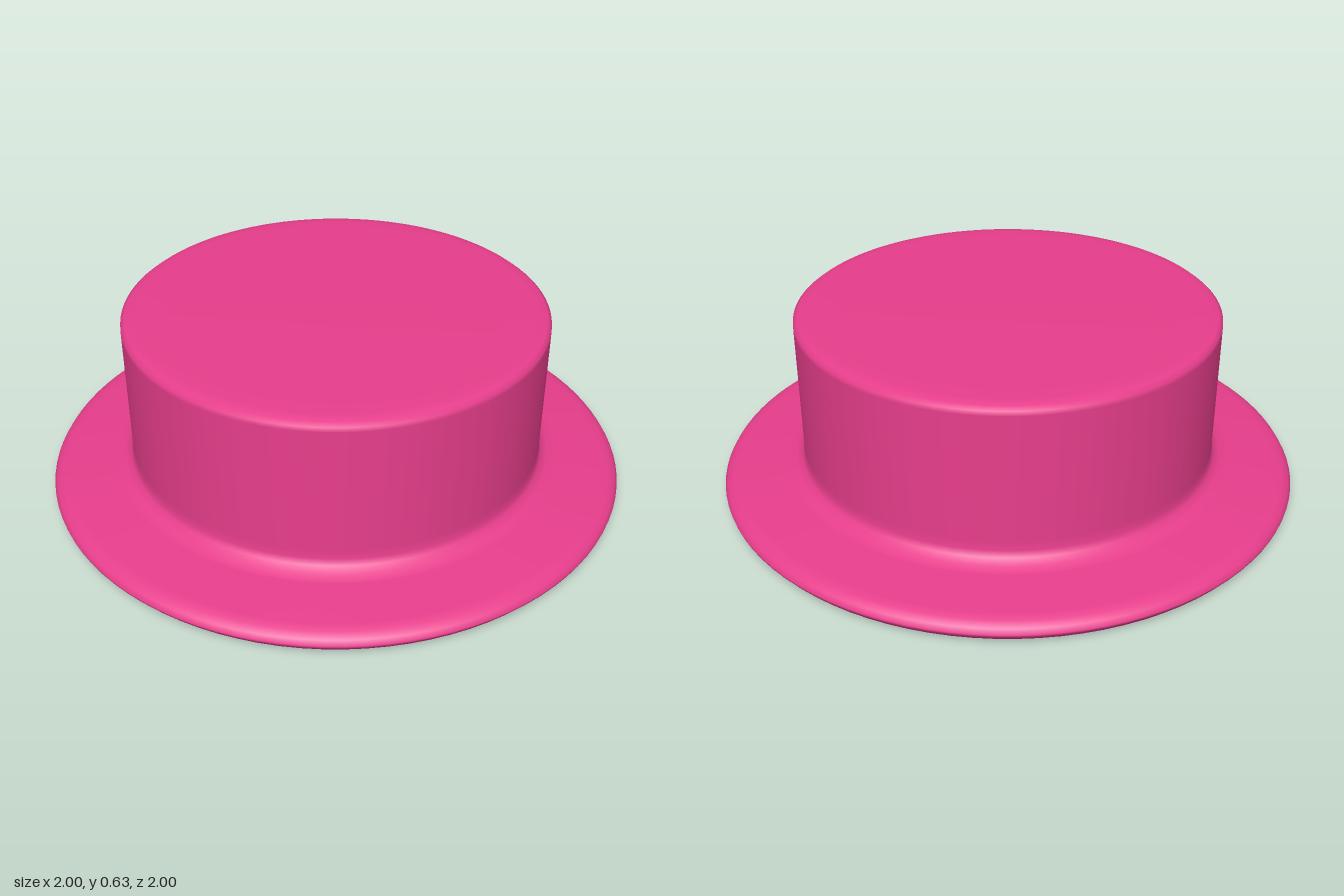
import * as THREE from 'three';

const material = new THREE.MeshStandardMaterial({ color: 0xe83e8c });

// Revolves a list of [radius, height] pairs around the y axis
function revolve(name, profile) {
  const points = profile.map(([r, y]) => new THREE.Vector2(r, y));
  const mesh = new THREE.Mesh(new THREE.LatheGeometry(points, 96), material);
  mesh.name = name;
  return mesh;
}

export function createModel() {
  const group = new THREE.Group();
  group.name = 'flatHat';

  // Hollow underside: ceiling, straight wall and softly rounded mouth
  group.add(revolve('innerHollow', [
    [0, 0.55], [0.4, 0.55], [0.44, 0.545], [0.46, 0.52], [0.46, 0.5],
    [0.46, 0.07], [0.465, 0.04], [0.48, 0.014], [0.51, 0.003], [0.55, 0],
  ]));

  // Brim: flat below, rounded rim, gently sloping top
  group.add(revolve('brim', [
    [0.55, 0], [0.94, 0], [0.965, 0.003], [0.985, 0.013], [0.998, 0.03],
    [1, 0.038], [0.99, 0.054], [0.968, 0.067], [0.94, 0.071], [0.78, 0.087],
  ]));

  // Crown: small fillet at the brim, upright wall, softened top edge
  group.add(revolve('crown', [
    [0.78, 0.087], [0.75, 0.093], [0.728, 0.109], [0.72, 0.13], [0.72, 0.16],
    [0.72, 0.6], [0.719, 0.616], [0.705, 0.627], [0.67, 0.632], [0.56, 0.635],
    [0, 0.635],
  ]));

  return group;
}
